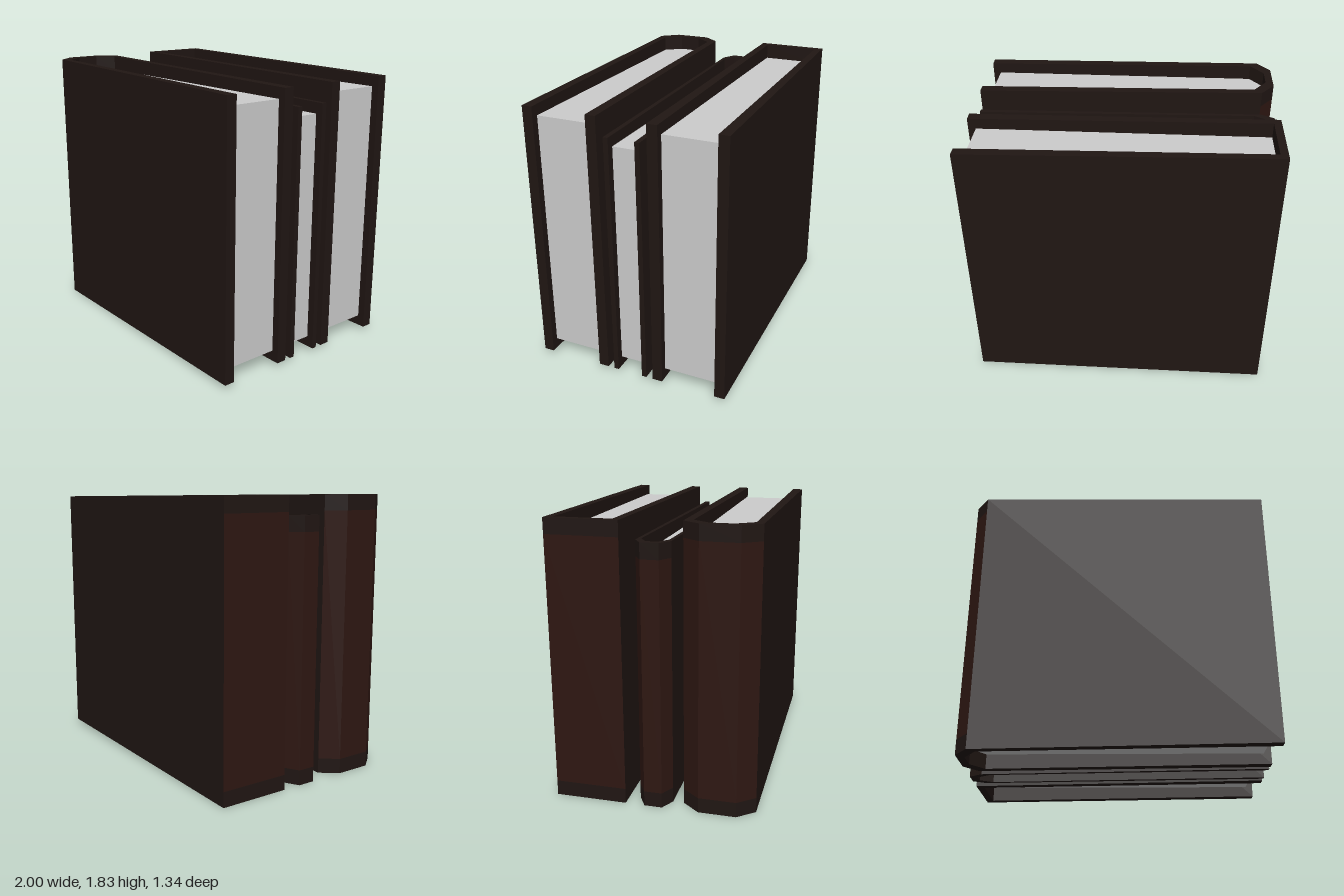
import * as THREE from 'three';

const coverMat = new THREE.MeshStandardMaterial({ color: 0x201613 });
const spineMat = new THREE.MeshStandardMaterial({ color: 0x2e1712 });
const pageMat = new THREE.MeshStandardMaterial({ color: 0xcccccc });

// Upright prism over an [x, z] outline, from y0 to y1
function prism(name, points, y0, y1, material, bend) {
  const shape = new THREE.Shape(points.map(([x, z]) => new THREE.Vector2(x, -z)));
  const geo = new THREE.ExtrudeGeometry(shape, { depth: y1 - y0, bevelEnabled: false });
  geo.rotateX(-Math.PI / 2).translate(0, y0, 0);
  if (bend) {
    const p = geo.attributes.position;
    for (let i = 0; i < p.count; i++) p.setY(i, bend(p.getX(i), p.getY(i)));
    geo.computeVertexNormals();
  }
  const mesh = new THREE.Mesh(geo, material);
  mesh.name = name;
  return mesh;
}

// Closes a half profile (running from the spine outwards) by mirroring it in z
const mirrored = (half) => [...half, ...half.map(([x, z]) => [x, -z]).reverse()];

// outer and inner are the half profiles of the spine; fore is the half thickness at the open edge
function makeBook({ name, z, height, outer, inner, fore }) {
  const book = new THREE.Group();
  book.name = name;
  book.position.z = z;

  // Covers get slightly lower towards the open edge
  const taper = (x, y) => y + 0.015 * (x + 1) * (1 - (2 * y) / height);
  const outEnd = outer[outer.length - 1];
  const inEnd = inner[inner.length - 1];

  // Page block
  book.add(prism('pages', mirrored([...inner, [0.95, inEnd[1]]]), 0.1, height - 0.1, pageMat));

  // Front and back boards, flaring outwards
  for (const [side, s] of [['frontCover', 1], ['backCover', -1]]) {
    const board = [outEnd, [1, fore], [1, inEnd[1]], inEnd].map(([x, w]) => [x, w * s]);
    book.add(prism(side, board, 0, height, coverMat, taper));
  }

  // Spine: a panel between two darker end bands
  const flip = (pts) => pts.map(([x, w]) => [x, -w]);
  const spine = [...[...outer].reverse(), ...flip(outer), ...flip(inner).reverse(), ...inner];
  book.add(prism('spineBottomBand', spine, 0, 0.1, coverMat, taper));
  book.add(prism('spinePanel', spine, 0.1, height - 0.1, spineMat, taper));
  book.add(prism('spineTopBand', spine, height - 0.1, height, coverMat, taper));
  return book;
}

export function createModel() {
  const group = new THREE.Group();
  group.name = 'books';
  group.add(
    makeBook({
      name: 'frontBook', z: 0.417, height: 1.833, fore: 0.253,
      outer: [[-1, 0.122], [-0.912, 0.235]],
      inner: [[-0.95, 0.073], [-0.865, 0.184]],
    }),
    makeBook({
      name: 'middleBook', z: 0, height: 1.71, fore: 0.12,
      outer: [[-1, 0.058], [-0.912, 0.11]],
      inner: [[-0.95, 0.036], [-0.865, 0.087]],
    }),
    makeBook({
      name: 'backBook', z: -0.419, height: 1.833, fore: 0.253,
      outer: [[-1, 0.235]],
      inner: [[-0.95, 0.184]],
    }),
  );
  return group;
}
